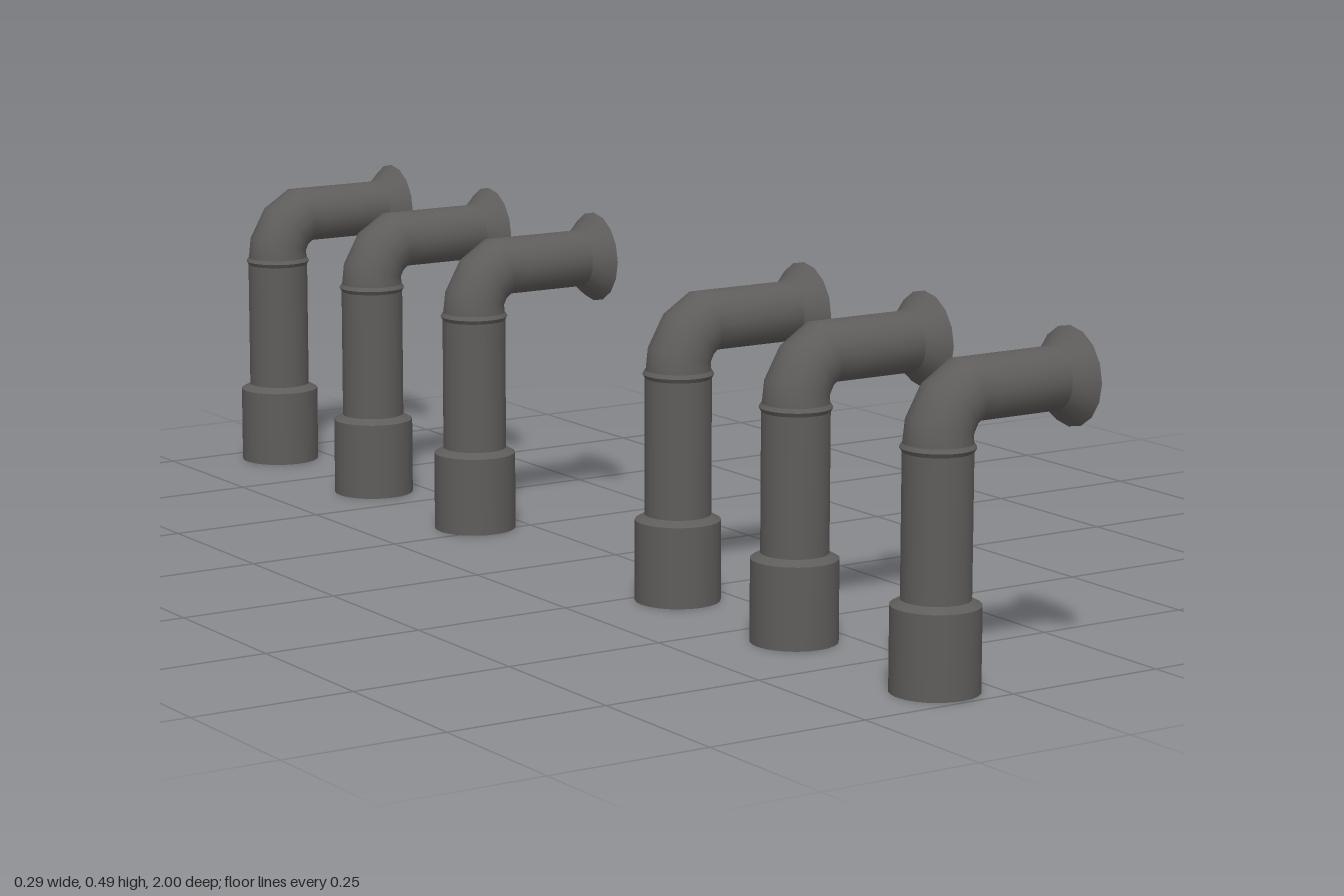
import * as THREE from 'three';

const SIDES = 24;
const AXIS_X = -0.081;

// Skin through oval sections: [outer x, outer y, inner x, inner y, half depth]
function skin(sections, sides) {
  const pos = [], index = [];
  sections.forEach(([ox, oy, ix, iy, depth], s) => {
    for (let i = 0; i < sides; i++) {
      const a = (i / sides) * Math.PI * 2;
      const c = Math.cos(a) / 2;
      pos.push((ox + ix) / 2 + (ox - ix) * c, (oy + iy) / 2 + (oy - iy) * c, depth * Math.sin(a));
      if (s > 0) {
        const n = (i + 1) % sides, lo = (s - 1) * sides, hi = s * sides;
        index.push(lo + i, lo + n, hi + i, lo + n, hi + n, hi + i);
      }
    }
  });
  const geo = new THREE.BufferGeometry();
  geo.setAttribute('position', new THREE.Float32BufferAttribute(pos, 3));
  geo.setIndex(index);
  geo.computeVertexNormals();
  return geo;
}

export function createModel() {
  const metal = new THREE.MeshStandardMaterial({ color: 0x5f5d5b, side: THREE.DoubleSide });
  metal.name = 'dark grey metal';

  // Upright sections: name, bottom y, top y, bottom radius, top radius
  const upright = [
    ['baseSleeve', 0, 0.122, 0.064, 0.064],
    ['baseShoulder', 0.122, 0.13, 0.064, 0.0495],
    ['standPipe', 0.13, 0.337, 0.0495, 0.0495],
    ['collarLower', 0.335, 0.341, 0.0495, 0.053],
    ['collarUpper', 0.341, 0.347, 0.053, 0.049],
  ].map(([name, y0, y1, r0, r1]) => {
    const geo = new THREE.CylinderGeometry(r1, r0, y1 - y0, SIDES, 1, true);
    geo.translate(AXIS_X, (y0 + y1) / 2, 0);
    return [name, geo];
  });

  // Bend and horizontal outlet pipe
  const elbow = skin([
    [-0.13, 0.346, -0.032, 0.346, 0.049],
    [-0.126, 0.381, -0.033, 0.356, 0.048],
    [-0.098, 0.431, -0.029, 0.364, 0.047],
    [-0.051, 0.461, -0.022, 0.37, 0.046],
    [-0.01, 0.461, -0.01, 0.37, 0.0455],
    [0.113, 0.461, 0.113, 0.37, 0.0455],
  ], 16);

  // Open flared mouth
  const flare = new THREE.CylinderGeometry(0.071, 0.0455, 0.03, 16, 1, true);
  flare.rotateZ(-Math.PI / 2);
  flare.translate(0.128, 0.4155, 0);

  const parts = [...upright, ['elbowPipe', elbow], ['flaredMouth', flare]];

  // Row of six pipes in two groups of three
  const model = new THREE.Group();
  model.name = 'exhaustPipes';
  [0.929, 0.595, 0.295, -0.286, -0.609, -0.929].forEach((z, i) => {
    const pipe = new THREE.Group();
    pipe.name = `pipe${i + 1}`;
    for (const [name, geo] of parts) {
      const mesh = new THREE.Mesh(geo, metal);
      mesh.name = name;
      pipe.add(mesh);
    }
    pipe.position.z = z;
    model.add(pipe);
  });
  return model;
}
